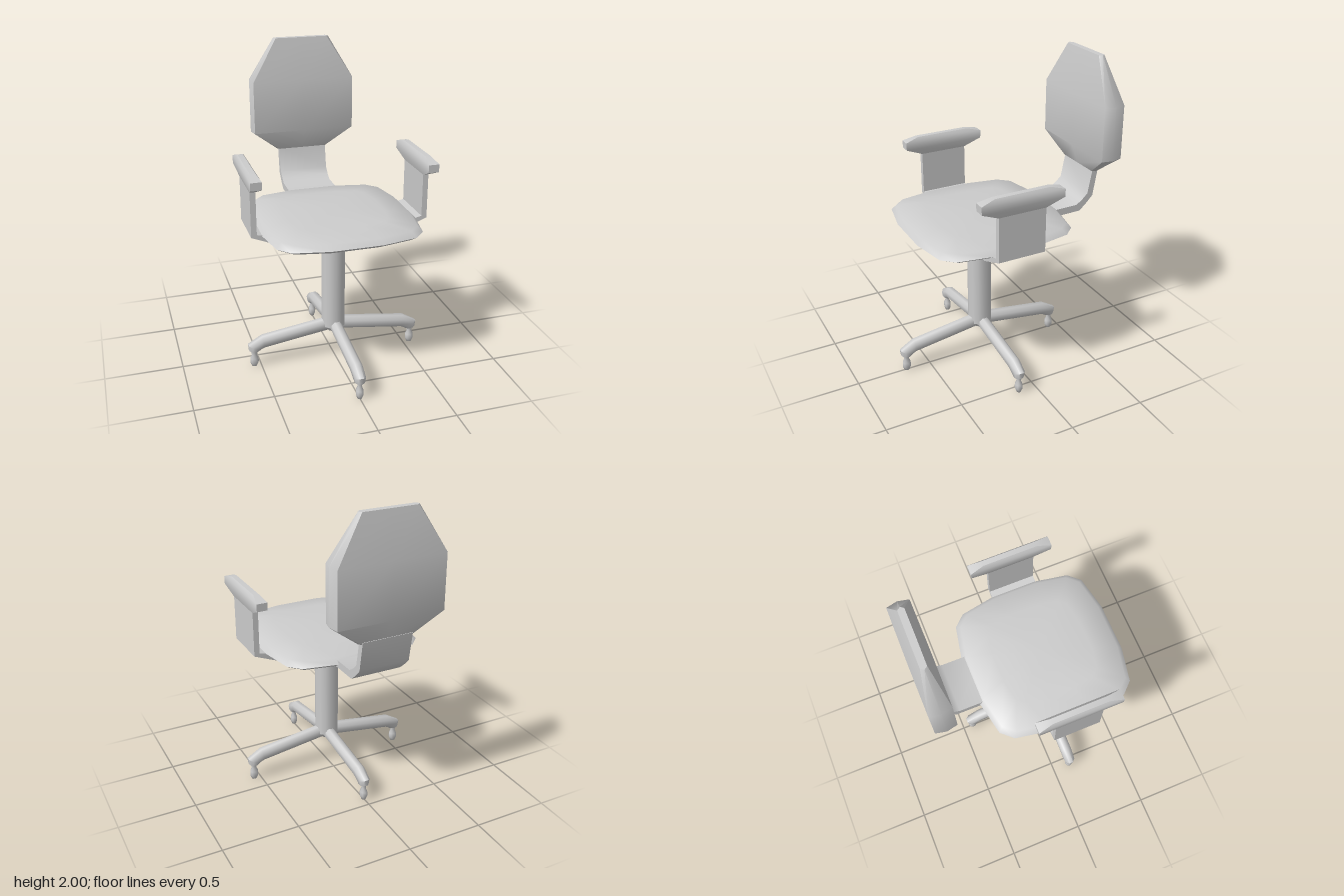
import * as THREE from 'three';
import { toCreasedNormals } from 'three/addons/utils/BufferGeometryUtils.js';

const grey = new THREE.MeshStandardMaterial({ color: 0xcccccc });
const CX = -0.005; // centre line of the upper chair
const CZ = 0.118; // column position along z

// Closed skin through rings of [x, y, z] points, capped at both ends
function loft(rings, crease) {
  const n = rings[0].length;
  const pos = rings.flat(2);
  const index = [];
  for (let r = 0; r < rings.length - 1; r++) {
    for (let i = 0; i < n; i++) {
      const a = r * n + i, b = r * n + (i + 1) % n;
      index.push(a, b, b + n, a, b + n, a + n);
    }
  }
  [0, rings.length - 1].forEach((r) => {
    const c = pos.length / 3;
    for (let k = 0; k < 3; k++) pos.push(rings[r].reduce((s, p) => s + p[k], 0) / n);
    for (let i = 0; i < n; i++) {
      const a = r * n + i, b = r * n + (i + 1) % n;
      if (r === 0) index.push(c, b, a);
      else index.push(c, a, b);
    }
  });
  // Turn the faces outward if the signed volume is negative
  const v = (i) => new THREE.Vector3().fromArray(pos, i * 3);
  let volume = 0;
  for (let i = 0; i < index.length; i += 3) {
    volume += v(index[i]).dot(v(index[i + 1]).cross(v(index[i + 2])));
  }
  if (volume < 0) index.reverse();
  const geo = new THREE.BufferGeometry();
  geo.setAttribute('position', new THREE.Float32BufferAttribute(pos, 3));
  geo.setIndex(index);
  return toCreasedNormals(geo, crease);
}

function add(parent, name, geo, x = 0, y = 0, z = 0) {
  const mesh = new THREE.Mesh(geo, grey);
  mesh.name = name;
  mesh.position.set(x, y, z);
  parent.add(mesh);
  return mesh;
}

// Horizontal rectangle ring
const rect = (y, hx, hz) => [[-hx, y, -hz], [hx, y, -hz], [hx, y, hz], [-hx, y, hz]];

function makeSeat() {
  const q = [[0.495, 0.155], [0.455, 0.375], [0.385, 0.45], [0.16, 0.495]];
  const flip = [...q].reverse();
  const outline = [
    ...q, ...flip.map(([x, z]) => [-x, z]),
    ...q.map(([x, z]) => [-x, -z]), ...flip.map(([x, z]) => [x, -z]),
  ];
  const levels = [[0.965, 0.93], [0.99, 1], [1.023, 0.94], [1.043, 0.62], [1.053, 0.3]];
  return loft(levels.map(([y, s]) => outline.map(([x, z]) => [x * s, y, z * s])), 1.3);
}

function makeBackrest() {
  const levels = [[1.235, 0.165, 0.02], [1.37, 0.345, 0.07], [1.72, 0.345, 0.07], [2, 0.175, 0.02]];
  return loft(levels.map(([y, hx, hz]) => [
    [-hx, y, hz], [0, y, hz * 1.03], [hx, y, hz], [hx + 0.015, y, 0],
    [hx, y, -hz], [0, y, -hz * 1.03], [-hx, y, -hz], [-hx - 0.015, y, 0],
  ]), 0.9);
}

// Bent strip from under the seat up to the backrest: lower and upper [z, y]
function makeBackBracket() {
  const path = [
    [-0.25, 0.962, -0.25, 1.01], [-0.54, 0.968, -0.515, 1.015],
    [-0.585, 1.005, -0.555, 1.04], [-0.637, 1.06, -0.597, 1.08],
    [-0.67, 1.25, -0.63, 1.25],
  ];
  const w = 0.165;
  return loft(path.map(([z0, y0, z1, y1]) => [[-w, y0, z0], [w, y0, z0], [w, y1, z1], [-w, y1, z1]]), 0.8);
}

// Strip from the column out and up to the armrest: outer and inner [x, y], half depth
function makeArmSupport(side) {
  const path = [
    [0.07, 0.84, 0.07, 0.96, 0.08], [0.38, 0.91, 0.38, 0.965, 0.155],
    [0.565, 0.985, 0.53, 1.0, 0.155], [0.565, 1.285, 0.53, 1.285, 0.155],
  ];
  return loft(path.map(([x0, y0, x1, y1, d]) => [
    [side * x0, y0, -d], [side * x0, y0, d], [side * x1, y1, d], [side * x1, y1, -d],
  ]), 0.5);
}

function makeArmrest() {
  return loft([
    rect(1.275, 0.018, 0.155), rect(1.325, 0.034, 0.27),
    rect(1.375, 0.034, 0.272), rect(1.4, 0.017, 0.18),
  ], 0.9);
}

// Leg along +x: top and bottom [x, y] of each section, half width
function makeLeg() {
  const path = [
    [0, 0.285, 0, 0.2, 0.037], [0.49, 0.215, 0.475, 0.132, 0.037],
    [0.583, 0.16, 0.497, 0.122, 0.036], [0.578, 0.118, 0.512, 0.11, 0.03],
  ];
  return loft(path.map(([x0, y0, x1, y1, w]) => Array.from({ length: 8 }, (_, i) => {
    const a = (i + 0.5) * Math.PI / 4;
    const t = Math.sin(a) / Math.sin(Math.PI * 3 / 8);
    return [
      (x0 + x1) / 2 + t * (x0 - x1) / 2,
      (y0 + y1) / 2 + t * (y0 - y1) / 2,
      w * Math.cos(a) / Math.cos(Math.PI / 8),
    ];
  })), 1.0);
}

function makeCaster() {
  const profile = [[0, 0], [0.017, 0], [0.029, 0.028], [0.028, 0.058], [0.016, 0.085], [0.024, 0.12]];
  return new THREE.LatheGeometry(profile.map(([x, y]) => new THREE.Vector2(x, y)), 8);
}

export function createModel() {
  const chair = new THREE.Group();
  chair.name = 'officeChair';

  // Seat and back
  add(chair, 'seat', makeSeat(), CX, 0, 0.113);
  add(chair, 'backrest', makeBackrest(), CX, 0, -0.64);
  add(chair, 'backBracket', makeBackBracket(), CX);

  // Column and the flared mount under the seat
  add(chair, 'column', new THREE.CylinderGeometry(0.078, 0.078, 0.62, 12), CX, 0.54, CZ);
  add(chair, 'seatMount', loft([rect(0.84, 0.08, 0.08), rect(0.97, 0.3, 0.235)], 0.4), CX, 0, CZ);

  // Arms
  for (const side of [1, -1]) {
    const label = side > 0 ? 'left' : 'right';
    add(chair, label + 'ArmSupport', makeArmSupport(side), 0, 0, CZ);
    add(chair, label + 'Armrest', makeArmrest(), side * 0.548, 0, CZ);
  }

  // Four-legged base with casters
  const legGeo = makeLeg();
  const casterGeo = makeCaster();
  for (let i = 0; i < 4; i++) {
    const leg = new THREE.Group();
    leg.name = 'baseLeg' + (i + 1);
    leg.position.set(0, 0, CZ);
    leg.rotation.y = i * Math.PI / 2;
    add(leg, 'legBar', legGeo);
    add(leg, 'caster', casterGeo, 0.545).scale.z = 0.85;
    chair.add(leg);
  }
  add(chair, 'baseHub', new THREE.CylinderGeometry(0.078, 0.04, 0.05, 12), CX, 0.215, CZ);
  return chair;
}
